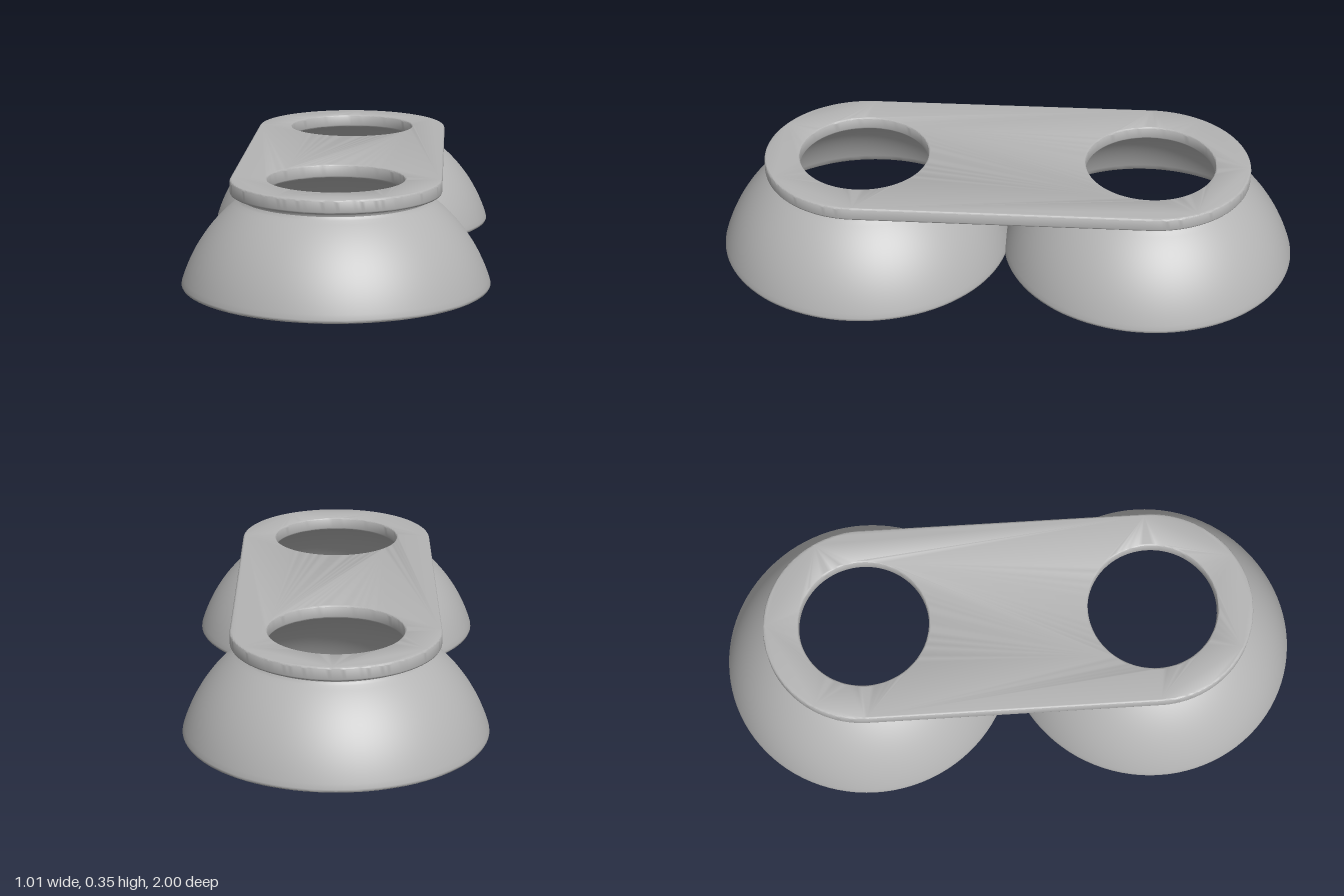
import * as THREE from 'three';
import { toCreasedNormals } from 'three/addons/utils/BufferGeometryUtils.js';

const CENTRE = 0.496;   // distance of each cup axis from the middle
const HOLE = 0.223;
const PLATE_R = 0.345;
const SPHERE_Y = -0.141; // centre height of the dome arcs

// Points on a dome arc of radius r, between two heights
function arc(r, y0, y1, n) {
  return Array.from({ length: n + 1 }, (_, i) => {
    const a0 = Math.asin((y0 - SPHERE_Y) / r), a1 = Math.asin((y1 - SPHERE_Y) / r);
    const a = a0 + (a1 - a0) * i / n;
    return new THREE.Vector2(r * Math.cos(a), SPHERE_Y + r * Math.sin(a));
  });
}

// Hollow dome: inner wall down, rounded rim, outer wall up, grooved neck
function cupGeometry() {
  const v = (x, y) => new THREE.Vector2(x, y);
  const profile = [
    ...arc(0.501, 0.307, 0.008, 20),
    v(0.484, 0.002), v(0.488, 0), v(0.499, 0), v(0.503, 0.002), v(0.505, 0.006),
    ...arc(0.527, 0.012, 0.279, 20),
    v(0.313, 0.284), v(0.310, 0.289), v(0.311, 0.295), v(0.315, 0.300), v(0.322, 0.304),
  ];
  return toCreasedNormals(new THREE.LatheGeometry(profile, 96), 0.7);
}

// Stadium plate with two round holes and softly rounded edges
function plateGeometry() {
  const shape = new THREE.Shape();
  shape.absarc(0, CENTRE, PLATE_R, 0, Math.PI, false);
  shape.absarc(0, -CENTRE, PLATE_R, Math.PI, Math.PI * 2, false);
  shape.closePath();
  for (const s of [-1, 1]) {
    const hole = new THREE.Path();
    hole.absarc(0, s * CENTRE, HOLE, 0, Math.PI * 2, true);
    shape.holes.push(hole);
  }
  const bevel = 0.008, bottom = 0.303, top = 0.35;
  const geo = new THREE.ExtrudeGeometry(shape, {
    depth: top - bottom - 2 * bevel, curveSegments: 48,
    bevelThickness: bevel, bevelSize: bevel, bevelOffset: -bevel, bevelSegments: 4,
  });
  geo.rotateX(-Math.PI / 2);
  geo.translate(0, bottom + bevel, 0);
  return toCreasedNormals(geo, 0.6);
}

export function createModel() {
  const group = new THREE.Group();
  const grey = new THREE.MeshStandardMaterial({ color: 0xb4b4b4 });
  grey.name = 'grey';

  const cup = cupGeometry();
  for (const [name, s] of [['frontCup', 1], ['backCup', -1]]) {
    const mesh = new THREE.Mesh(cup, grey);
    mesh.name = name;
    mesh.position.z = s * CENTRE;
    group.add(mesh);
  }

  const plate = new THREE.Mesh(plateGeometry(), grey);
  plate.name = 'connectingPlate';
  group.add(plate);
  return group;
}
